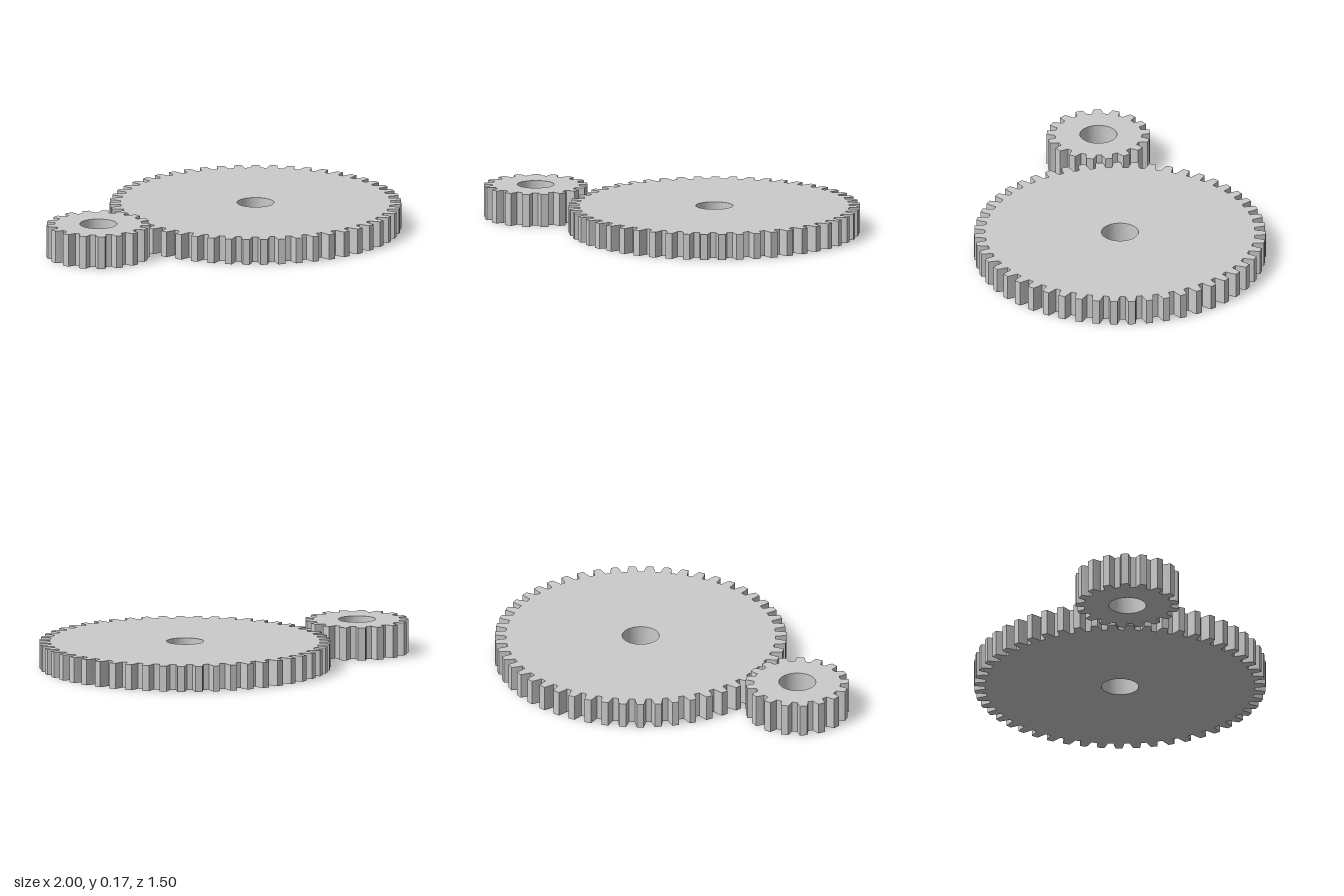
import * as THREE from 'three';
import { toCreasedNormals } from 'three/addons/utils/BufferGeometryUtils.js';

const material = new THREE.MeshStandardMaterial({ color: 0xcccccc });

// Spur gear lying flat on y = 0, with one tooth pointing to -z
function makeGear(name, { teeth, root, tip, bore, height, x }) {
  const pitch = (Math.PI * 2) / teeth;
  const mid = (root + tip) / 2;
  // one tooth: [angle as a fraction of the pitch, radius]
  const profile = [
    [-0.33, root], [-0.27, mid], [-0.19, tip],
    [0.19, tip], [0.27, mid], [0.33, root],
  ];
  const points = [];
  for (let i = 0; i < teeth; i++) {
    for (const [f, r] of profile) {
      const a = Math.PI / 2 + (i + f) * pitch;
      points.push(new THREE.Vector2(Math.cos(a) * r, Math.sin(a) * r));
    }
  }
  const shape = new THREE.Shape(points);

  // shaft hole
  const hole = new THREE.Path();
  hole.absarc(0, 0, bore, 0, Math.PI * 2, true);
  shape.holes.push(hole);

  const extruded = new THREE.ExtrudeGeometry(shape, {
    depth: height, bevelEnabled: false, curveSegments: 48,
  });
  extruded.rotateX(-Math.PI / 2);
  const gear = new THREE.Mesh(toCreasedNormals(extruded, 0.2), material);
  gear.name = name;
  gear.position.x = x;
  return gear;
}

export function createModel() {
  const group = new THREE.Group();
  group.name = 'gearPair';
  group.add(
    makeGear('largeGear', { teeth: 51, root: 0.692, tip: 0.748, bore: 0.095, height: 0.133, x: 0.251 }),
    makeGear('pinion', { teeth: 17, root: 0.223, tip: 0.266, bore: 0.095, height: 0.17, x: -0.735 }),
  );
  return group;
}
